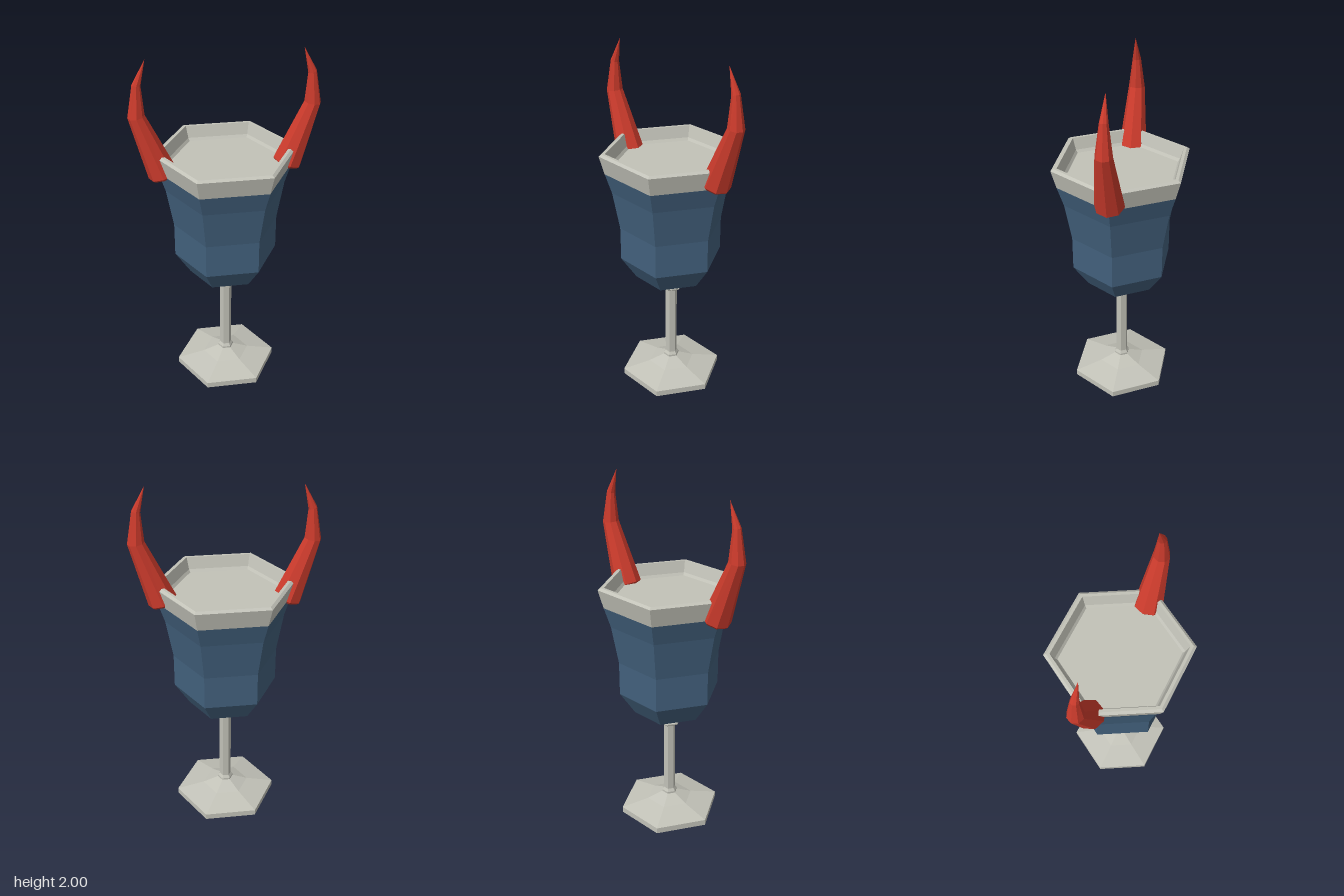
import * as THREE from 'three';

const SIDES = 6;

// Faceted six-sided turning with corners on the x axis; profile is [radius, y] pairs
function turned(name, profile, material) {
  const pts = profile.map(([r, y]) => new THREE.Vector2(r, y));
  const geo = new THREE.LatheGeometry(pts, SIDES, Math.PI / 2).toNonIndexed();
  geo.computeVertexNormals();
  const mesh = new THREE.Mesh(geo, material);
  mesh.name = name;
  return mesh;
}

// Curved eight-sided horn; each section is [x, y, radius, lean of the axis from vertical]
function hornGeometry(sections, sides = 8) {
  const rings = sections.map(([x, y, r, lean]) => {
    const ring = [];
    for (let j = 0; j < sides; j++) {
      const a = (j / sides) * Math.PI * 2;
      const u = r * Math.cos(a);
      ring.push([x + u * Math.cos(lean), y - u * Math.sin(lean), r * Math.sin(a)]);
    }
    return ring;
  });
  const pos = [];
  for (let i = 0; i < rings.length - 1; i++) {
    for (let j = 0; j < sides; j++) {
      const k = (j + 1) % sides;
      const [p, q, u, v] = [rings[i][j], rings[i][k], rings[i + 1][j], rings[i + 1][k]];
      if (sections[i][2] > 0) pos.push(...p, ...u, ...q);
      if (sections[i + 1][2] > 0) pos.push(...q, ...u, ...v);
    }
  }
  const geo = new THREE.BufferGeometry();
  geo.setAttribute('position', new THREE.Float32BufferAttribute(pos, 3));
  geo.computeVertexNormals();
  return geo;
}

export function createModel() {
  const metal = new THREE.MeshStandardMaterial({ color: 0xc2c2b8 });
  metal.name = 'pale metal';
  const blue = new THREE.MeshStandardMaterial({ color: 0x42607c });
  blue.name = 'slate blue';
  const red = new THREE.MeshStandardMaterial({ color: 0xcc3b2c });
  red.name = 'horn red';

  const goblet = new THREE.Group();
  goblet.name = 'hornedGoblet';

  // Foot and stem
  goblet.add(turned('foot', [
    [0, 0], [0.295, 0], [0.295, 0.035], [0.135, 0.072], [0.045, 0.107],
  ], metal));
  goblet.add(turned('stem', [
    [0.045, 0.107], [0.045, 0.118], [0.037, 0.13], [0.034, 0.135], [0.034, 0.585],
  ], metal));
  goblet.add(turned('collar', [
    [0.034, 0.585], [0.055, 0.588], [0.066, 0.597], [0.066, 0.604],
    [0.055, 0.612], [0.034, 0.615], [0.034, 0.63],
  ], metal));

  // Bowl
  goblet.add(turned('bowl', [
    [0, 0.62], [0.03, 0.62], [0.205, 0.685], [0.29, 0.815], [0.29, 1.01],
    [0.328, 1.23], [0.364, 1.345],
  ], blue));

  // Rim band, lip and shallow inner floor
  goblet.add(turned('rim', [
    [0.364, 1.345], [0.392, 1.449], [0.376, 1.46], [0.358, 1.46],
    [0.337, 1.395], [0.325, 1.38],
  ], metal));
  goblet.add(turned('innerFloor', [[0.325, 1.38], [0, 1.38]], metal));

  // Horns, one on each side corner
  const horn = hornGeometry([
    [0.332, 1.351, 0, 0.34],
    [0.332, 1.351, 0.068, 0.34],
    [0.337, 1.364, 0.08, 0.34],
    [0.459, 1.7, 0.045, 0.13],
    [0.449, 1.868, 0.023, -0.25],
    [0.4, 2.0, 0, -0.35],
  ]);
  const leftHorn = new THREE.Mesh(horn, red);
  leftHorn.name = 'leftHorn';
  const rightHorn = new THREE.Mesh(horn, red);
  rightHorn.name = 'rightHorn';
  rightHorn.rotation.y = Math.PI;
  rightHorn.position.set(-0.003, -0.023, 0);
  goblet.add(leftHorn, rightHorn);

  return goblet;
}
